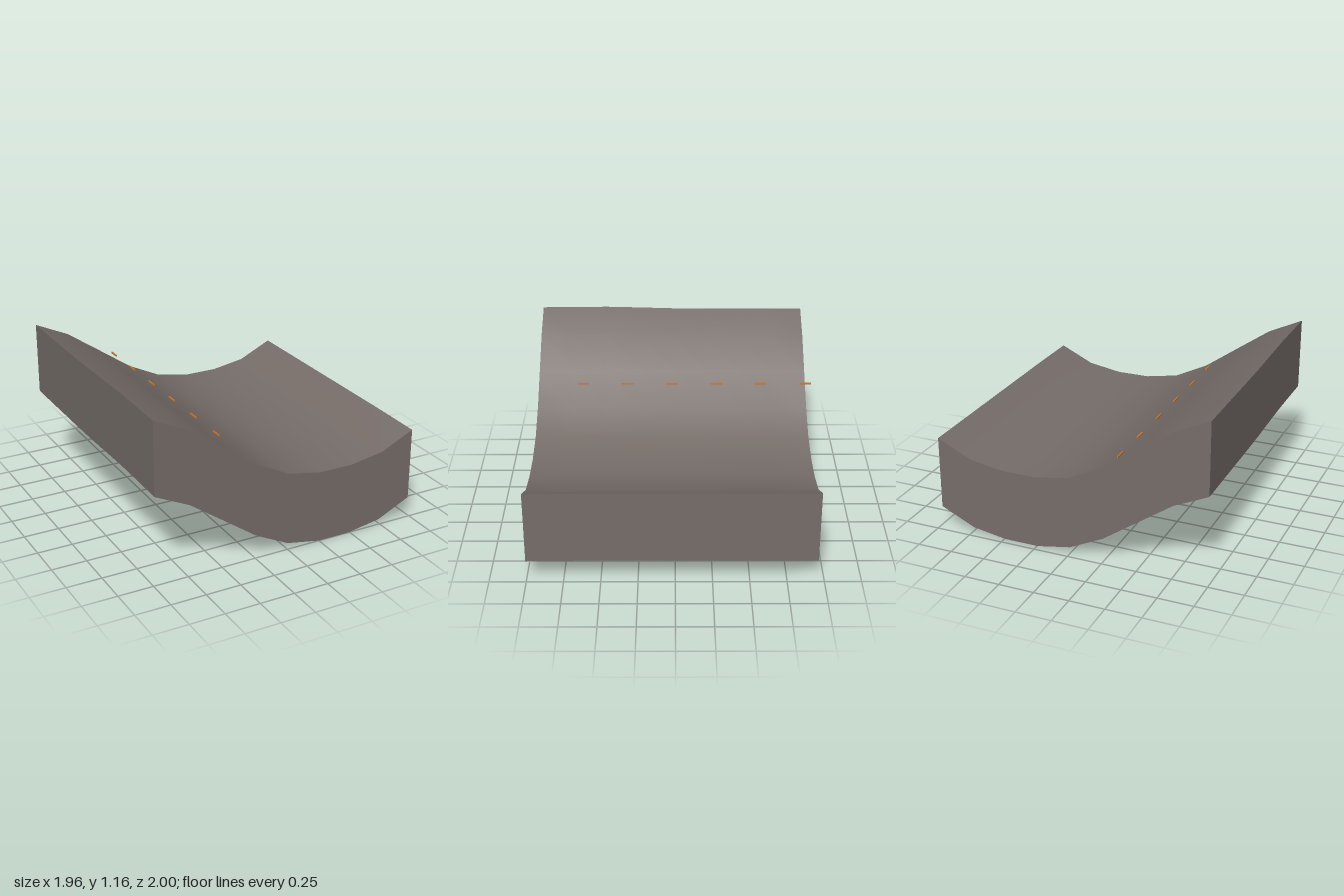
import * as THREE from 'three';

const COLS = 8, X0 = -0.98, X1 = 0.98, Z0 = -0.957, Z1 = 1, DEPTH = 0.52;
// Height of the valley cross-section at each column, left to right
const PROFILE = [1.15, 1.035, 0.863, 0.69, 0.57, 0.525, 0.525, 0.565, 0.68];

// Ground height at a grid column, with a slight swell along the high side
function heightAt(col, z) {
  const x = THREE.MathUtils.lerp(X0, X1, col / COLS);
  const rise = 0.016 * THREE.MathUtils.smoothstep(z, -0.15, 0.6);
  const fall = 0.005 * THREE.MathUtils.smoothstep(z, 0.6, 1);
  return PROFILE[col] + Math.max(0, -x) * (rise - fall) - Math.max(0, x) * fall;
}

function gridPoint(col, row) {
  const z = THREE.MathUtils.lerp(Z0, Z1, row / COLS);
  return new THREE.Vector3(THREE.MathUtils.lerp(X0, X1, col / COLS), heightAt(col, z), z);
}

export function createModel() {
  const model = new THREE.Group();
  const earth = new THREE.MeshStandardMaterial({ color: 0x766d69, side: THREE.DoubleSide });
  earth.name = 'earth';
  const orange = new THREE.MeshStandardMaterial({ color: 0xc8762e });
  orange.name = 'orange';

  const add = (name, geometry, material) => {
    const mesh = new THREE.Mesh(geometry, material);
    mesh.name = name;
    model.add(mesh);
    return mesh;
  };

  // Curved ground surface
  const ground = new THREE.PlaneGeometry(1, 1, COLS, COLS);
  for (let row = 0; row <= COLS; row++) {
    for (let col = 0; col <= COLS; col++) {
      const p = gridPoint(col, row);
      ground.attributes.position.setXYZ(row * (COLS + 1) + col, p.x, p.y, p.z);
    }
  }
  ground.computeVertexNormals();
  add('groundSurface', ground, earth);

  // Skirt walls hanging from each edge; the underside stays open
  const edges = {
    frontWall: (i) => gridPoint(i, COLS),
    rightEndWall: (i) => gridPoint(COLS, COLS - i),
    backWall: (i) => gridPoint(COLS - i, 0),
    leftEndWall: (i) => gridPoint(0, i),
  };
  for (const [name, edge] of Object.entries(edges)) {
    const wall = new THREE.PlaneGeometry(1, 1, COLS, 1);
    for (let i = 0; i <= COLS; i++) {
      const p = edge(i);
      wall.attributes.position.setXYZ(i, p.x, p.y, p.z);
      wall.attributes.position.setXYZ(i + COLS + 1, p.x, p.y - DEPTH, p.z);
    }
    wall.computeVertexNormals();
    add(name, wall, earth);
  }

  // Row of dashes floating just above the slope
  const dashShape = new THREE.BoxGeometry(0.01, 0.01, 0.085);
  for (let i = 0; i < 6; i++) {
    add('dash' + (i + 1), dashShape, orange).position.set(-0.37, 0.81, -0.957 + i * 0.326);
  }
  return model;
}
